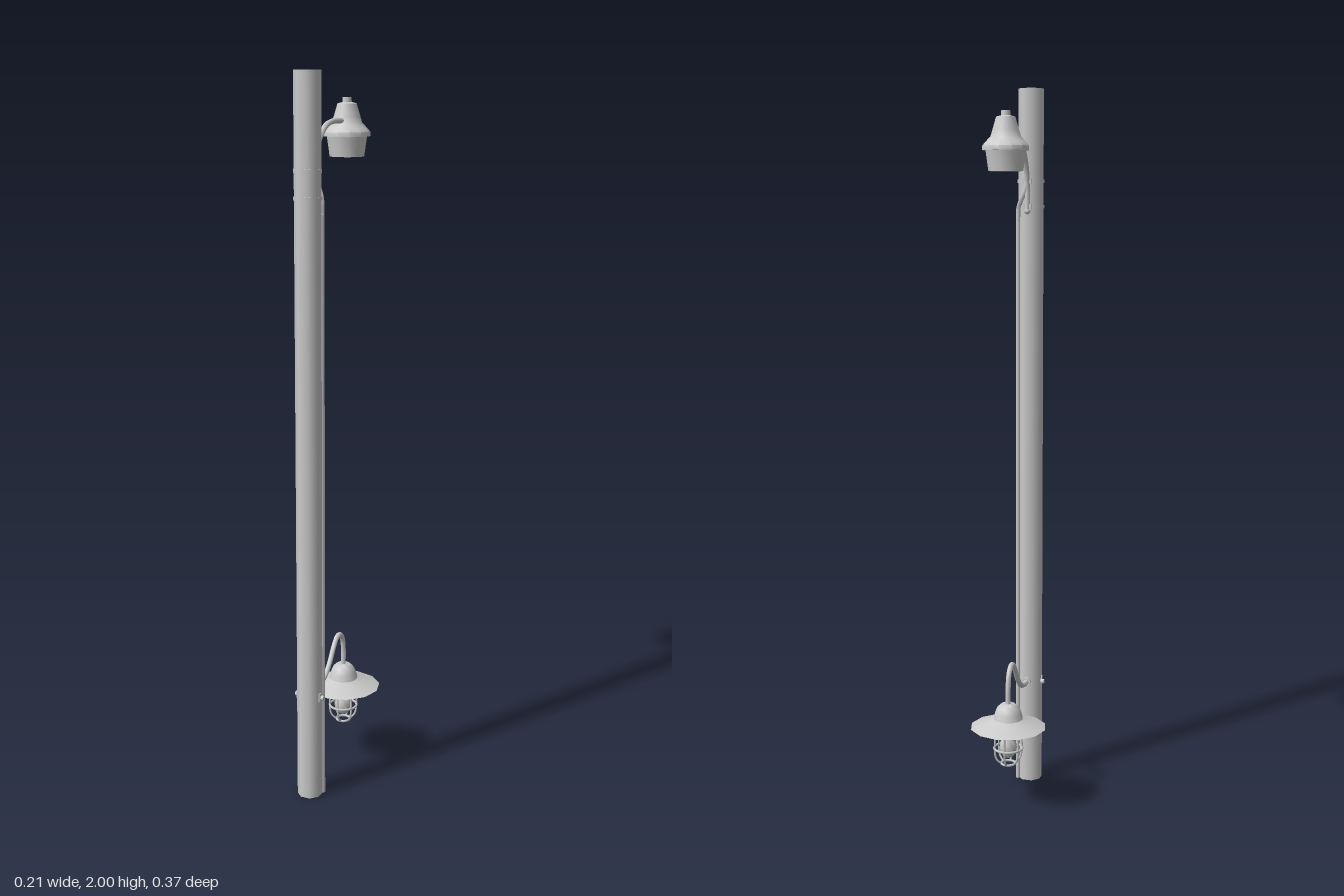
import * as THREE from 'three';
import { toCreasedNormals } from 'three/addons/utils/BufferGeometryUtils.js';

const mat = new THREE.MeshStandardMaterial({ color: 0xcccccc });
const thinMat = new THREE.MeshStandardMaterial({ color: 0xcccccc, side: THREE.DoubleSide });
const POLE_Z = 0.15, POLE_R = 0.0355;

export function createModel() {
  const root = new THREE.Group();

  const add = (parent, name, geo, x = 0, y = 0, z = 0, m = mat) => {
    const mesh = new THREE.Mesh(geo, m);
    mesh.name = name;
    mesh.position.set(x, y, z);
    parent.add(mesh);
    return mesh;
  };
  const group = (name, z) => {
    const g = new THREE.Group();
    g.name = name;
    g.position.z = z;
    root.add(g);
    return g;
  };
  const lathe = (pts, seg = 12) =>
    toCreasedNormals(new THREE.LatheGeometry(pts.map(p => new THREE.Vector2(...p)), seg), 0.75);
  const tube = (pts, r, seg = 24, sides = 8) => new THREE.TubeGeometry(
    new THREE.CatmullRomCurve3(pts.map(p => new THREE.Vector3(...p)), false, 'centripetal'), seg, r, sides);
  // Octagonal prism with flats facing front, back and sides
  const octagon = (r, h, open = false) =>
    new THREE.CylinderGeometry(r, r, h, 8, 1, open).rotateY(Math.PI / 8);

  // Pole with two straps near the top
  add(root, 'pole', octagon(POLE_R, 2), 0, 1, POLE_Z);
  for (const y of [1.75, 1.68]) {
    add(root, 'strap', octagon(POLE_R + 0.002, 0.01), 0, y, POLE_Z);
    add(root, 'strapBuckle', new THREE.BoxGeometry(0.022, 0.014, 0.012), 0, y, 0.115);
  }

  // Conduit leaving the upper arm and running down the side of the pole
  add(root, 'conduit', tube([
    [0, 1.77, 0.112], [0.004, 1.73, 0.112], [0.018, 1.70, 0.117],
    [0.029, 1.675, 0.128], [0.031, 1.64, 0.131]], 0.007, 20, 6));
  add(root, 'conduit', new THREE.CylinderGeometry(0.007, 0.007, 1.64, 6), 0.031, 0.82, 0.131);

  // Upper arm
  add(root, 'upperArm', tube([
    [0, 1.668, 0.114], [0, 1.74, 0.113], [0, 1.785, 0.102], [0, 1.83, 0.075],
    [0, 1.858, 0.04], [0, 1.868, 0], [0, 1.868, -0.07]], 0.0075, 28));
  add(root, 'upperArmFoot', new THREE.SphereGeometry(0.009, 8, 6), 0, 1.668, 0.114);

  // Upper lamp: hood, lens and cap
  const upper = group('upperLamp', -0.097);
  add(upper, 'hood', lathe([
    [0.054, 1.826], [0.063, 1.826], [0.063, 1.838], [0.054, 1.848], [0.041, 1.862],
    [0.036, 1.878], [0.026, 1.912], [0.014, 1.915]]), 0, 0, 0, thinMat);
  add(upper, 'cap', new THREE.CylinderGeometry(0.012, 0.013, 0.018, 12), 0, 1.919, 0);
  add(upper, 'lens', lathe([[0, 1.773], [0.047, 1.773], [0.055, 1.83]]), 0, 0, 0, thinMat);

  // Lower arm with its wall plate and side clamps
  add(root, 'lowerArm', tube([
    [0, 0.308, 0.12], [0, 0.308, 0.085], [0, 0.318, 0.05], [0, 0.345, 0.018],
    [0, 0.385, -0.012], [0, 0.407, -0.035], [0, 0.407, -0.056],
    [0, 0.388, -0.073], [0, 0.355, -0.08], [0, 0.3, -0.08]], 0.0075, 40));
  add(root, 'armCollar', new THREE.CylinderGeometry(0.012, 0.012, 0.014, 8).rotateX(Math.PI / 2), 0, 0.308, 0.115);
  for (const s of [-1, 1]) {
    add(root, 'clampBolt', new THREE.CylinderGeometry(0.007, 0.007, 0.014, 8).rotateZ(Math.PI / 2),
      s * 0.036, 0.3, POLE_Z);
    add(root, 'clampPlate', new THREE.BoxGeometry(0.004, 0.024, 0.01), s * 0.0335, 0.303, 0.156);
  }

  // Lower lamp: wide shade with a domed neck
  const lower = group('lowerLamp', -0.08);
  add(lower, 'shade', lathe([
    [0.107, 0.239], [0.085, 0.248], [0.058, 0.257], [0.042, 0.264], [0.038, 0.28],
    [0.031, 0.296], [0.02, 0.306], [0, 0.308]]), 0, 0, 0, thinMat);
  add(lower, 'socket', new THREE.CylinderGeometry(0.016, 0.018, 0.05, 12), 0, 0.247, 0);
  add(lower, 'bulb', lathe([
    [0, 0.148], [0.013, 0.151], [0.022, 0.163], [0.025, 0.178], [0.022, 0.195],
    [0.014, 0.213], [0.012, 0.23]]));

  // Wire cage around the bulb
  for (let i = 0; i < 6; i++) {
    const a = i * Math.PI / 3;
    const at = (r, y) => [r * Math.sin(a), y, r * Math.cos(a)];
    add(lower, 'cageWire', tube([
      at(0.039, 0.262), at(0.039, 0.2), at(0.039, 0.165), at(0.034, 0.145), at(0.02, 0.131)], 0.003, 14, 5));
  }
  for (const [r, y] of [[0.04, 0.24], [0.04, 0.176], [0.02, 0.131]]) {
    add(lower, 'cageRing', new THREE.TorusGeometry(r, 0.0035, 6, 16).rotateX(Math.PI / 2), 0, y, 0);
  }

  return root;
}
